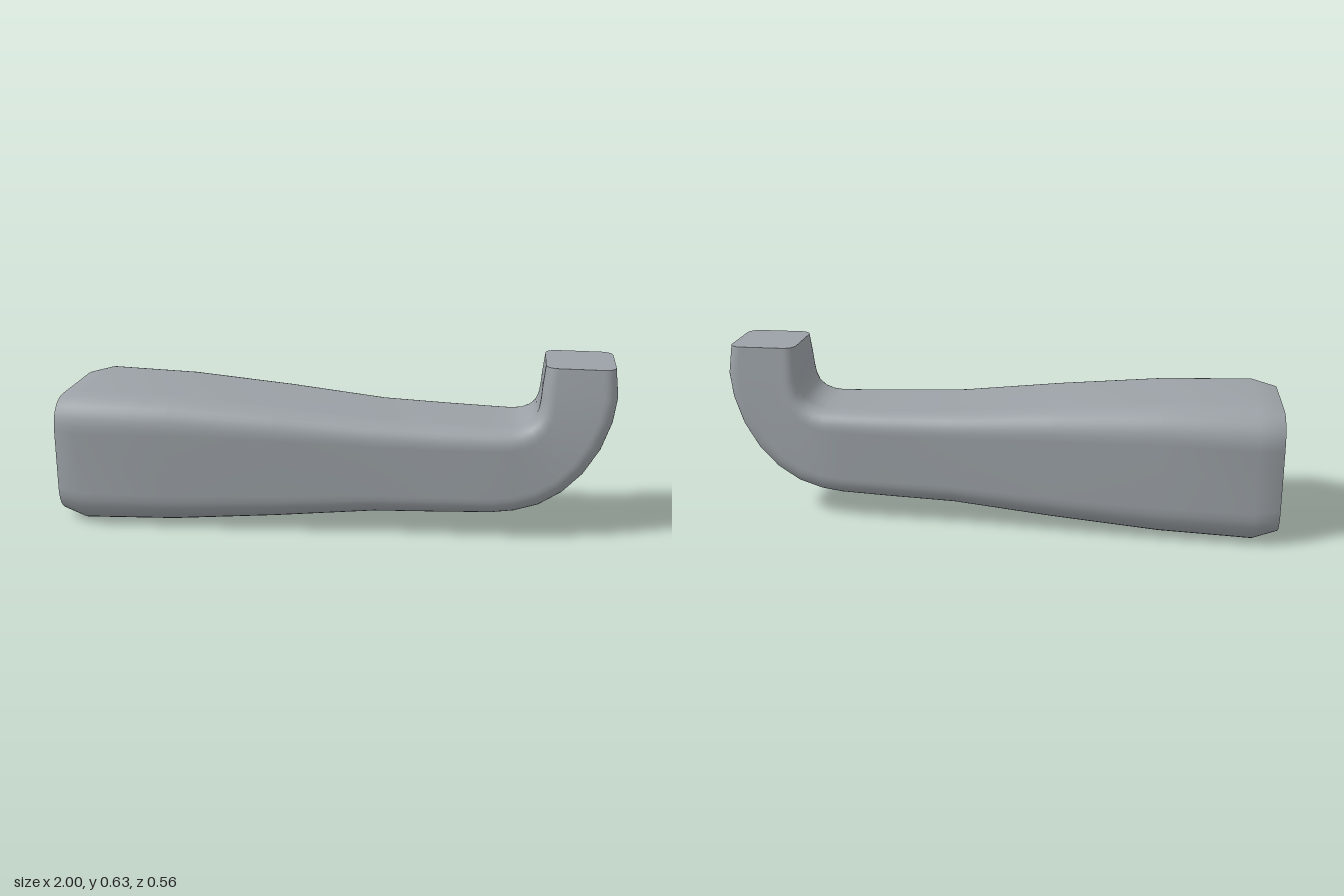
import * as THREE from 'three';

// Sections along the lever: outer (lower) x, y, inner (upper) x, y, half width, corner radius
const SECTIONS = [
  [-1, 0.028, -1, 0.468, 0.25, 0.11],
  [-0.91, 0.003, -0.91, 0.49, 0.282, 0.13],
  [-0.58, 0.013, -0.58, 0.483, 0.265, 0.12],
  [-0.2, 0.043, -0.2, 0.454, 0.237, 0.1],
  [0.16, 0.077, 0.16, 0.42, 0.207, 0.08],
  [0.4, 0.085, 0.4, 0.412, 0.198, 0.075],
  [0.58, 0.092, 0.58, 0.408, 0.189, 0.07],
  [0.66, 0.102, 0.635, 0.408, 0.183, 0.068],
  [0.745, 0.128, 0.67, 0.414, 0.176, 0.066],
  [0.825, 0.178, 0.7, 0.428, 0.169, 0.063],
  [0.895, 0.25, 0.72, 0.45, 0.163, 0.06],
  [0.95, 0.34, 0.73, 0.478, 0.156, 0.057],
  [0.985, 0.44, 0.735, 0.515, 0.149, 0.053],
  [0.998, 0.53, 0.738, 0.56, 0.141, 0.05],
  [0.986, 0.632, 0.746, 0.632, 0.129, 0.045],
];
const CORNER_STEPS = 8;

// Rounded rectangle standing between the outer and inner points of a section
function sectionLoop([ox, oy, ix, iy, w, r]) {
  const outer = new THREE.Vector2(ox, oy);
  const inner = new THREE.Vector2(ix, iy);
  const up = inner.clone().sub(outer).normalize();
  const mid = outer.clone().add(inner).multiplyScalar(0.5);
  const h = outer.distanceTo(inner) / 2;
  const soften = (v) => Math.sign(v) * Math.pow(Math.abs(v), 0.9);
  const loop = [];
  for (let corner = 0; corner < 4; corner++) {
    const sz = corner === 0 || corner === 3 ? 1 : -1;
    const su = corner < 2 ? 1 : -1;
    for (let k = 0; k <= CORNER_STEPS; k++) {
      const a = (corner + k / CORNER_STEPS) * Math.PI / 2;
      const z = sz * (w - r) + r * soften(Math.cos(a));
      const u = su * (h - r) + r * soften(Math.sin(a));
      loop.push(new THREE.Vector3(mid.x + up.x * u, mid.y + up.y * u, z));
    }
  }
  return loop;
}

function makeGeometry(points, index) {
  const geometry = new THREE.BufferGeometry().setFromPoints(points);
  geometry.setIndex(index);
  geometry.computeVertexNormals();
  return geometry;
}

// Smooth skin joining consecutive loops
function skin(loops) {
  const n = loops[0].length;
  const index = [];
  for (let i = 0; i < loops.length - 1; i++) {
    for (let j = 0; j < n; j++) {
      const a = i * n + j, b = i * n + (j + 1) % n;
      index.push(a, a + n, b, b, a + n, b + n);
    }
  }
  return makeGeometry(loops.flat(), index);
}

// Flat end face
function cap(loop, reverse) {
  const index = [];
  for (let j = 1; j < loop.length - 1; j++) {
    index.push(0, reverse ? j + 1 : j, reverse ? j : j + 1);
  }
  return makeGeometry(loop, index);
}

export function createModel() {
  const group = new THREE.Group();
  group.name = 'leverHandle';
  const metal = new THREE.MeshStandardMaterial({ color: 0x9ba1a6 });
  metal.name = 'greyMetal';

  const loops = SECTIONS.map(sectionLoop);
  const add = (name, geometry) => {
    const mesh = new THREE.Mesh(geometry, metal);
    mesh.name = name;
    group.add(mesh);
  };
  add('leverBody', skin(loops));
  add('gripEndFace', cap(loops[0], false));
  add('neckEndFace', cap(loops[loops.length - 1], true));
  return group;
}
